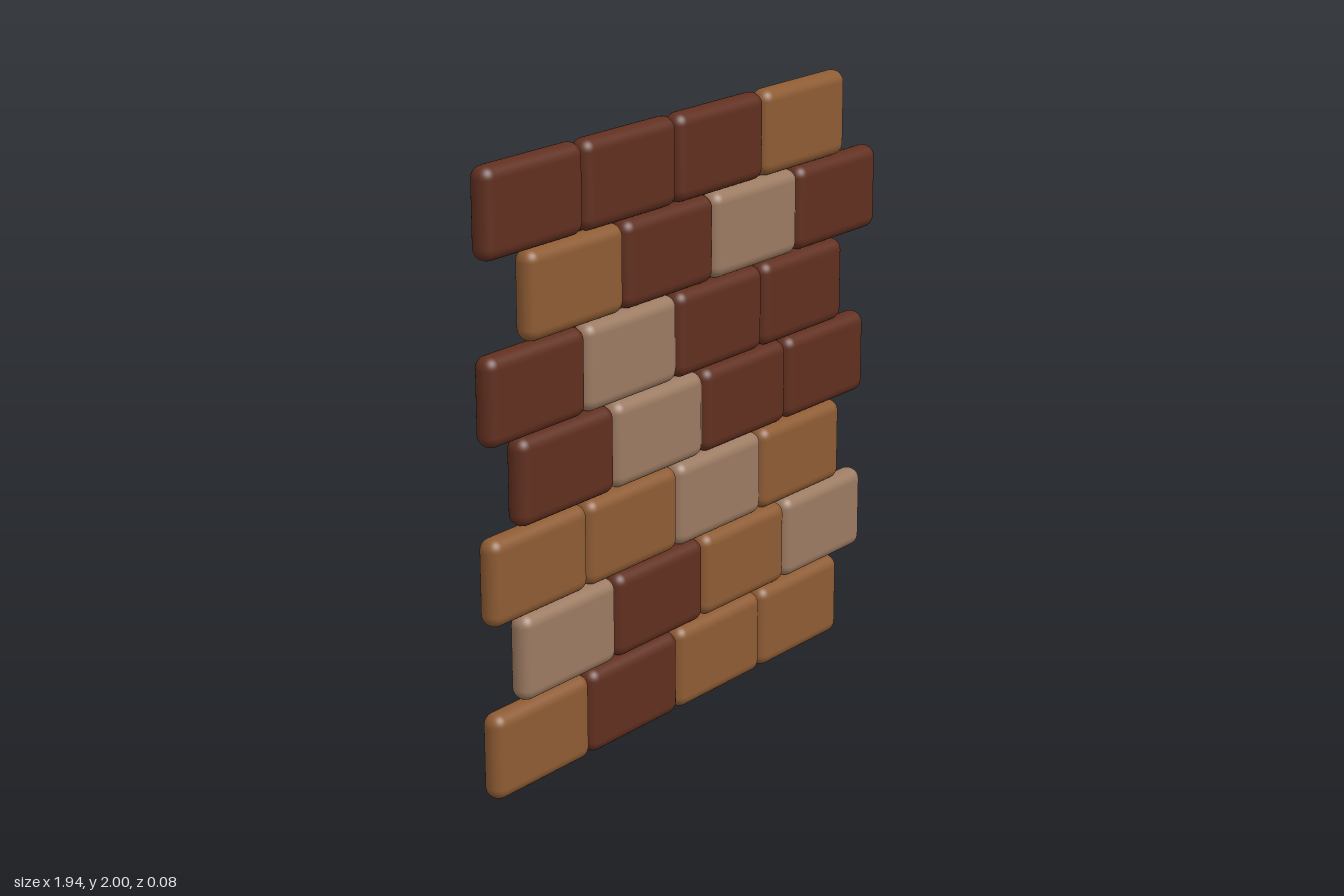
import * as THREE from 'three';
import { RoundedBoxGeometry } from 'three/addons/geometries/RoundedBoxGeometry.js';

const PITCH = 0.44, ROW = 2 / 7, DEPTH = 0.082;

// Courses from bottom to top: left edge and the tone of each brick
// d = dark, b = brown, t = tan
const COURSES = [
  [-0.972, 'bdbb'],
  [-0.84, 'tdbt'],
  [-0.972, 'bbtb'],
  [-0.84, 'dtdd'],
  [-0.972, 'dtdd'],
  [-0.788, 'bdtd'],
  [-0.972, 'dddb'],
];

export function createModel() {
  const wall = new THREE.Group();
  wall.name = 'brickWall';

  const tones = {
    d: new THREE.MeshStandardMaterial({ color: 0x602f1f }),
    b: new THREE.MeshStandardMaterial({ color: 0x8d5b33 }),
    t: new THREE.MeshStandardMaterial({ color: 0x9b7a61 }),
  };

  // One soft-edged brick shared by the whole wall
  const brick = new RoundedBoxGeometry(PITCH, ROW, DEPTH, 5, 0.04);

  COURSES.forEach(([left, pattern], row) => {
    const course = new THREE.Group();
    course.name = `course${row + 1}`;
    course.position.set(left, (row + 0.5) * ROW, 0);
    [...pattern].forEach((tone, i) => {
      const mesh = new THREE.Mesh(brick, tones[tone]);
      mesh.name = `brick${i + 1}`;
      mesh.position.x = (i + 0.5) * PITCH;
      course.add(mesh);
    });
    wall.add(course);
  });

  return wall;
}
